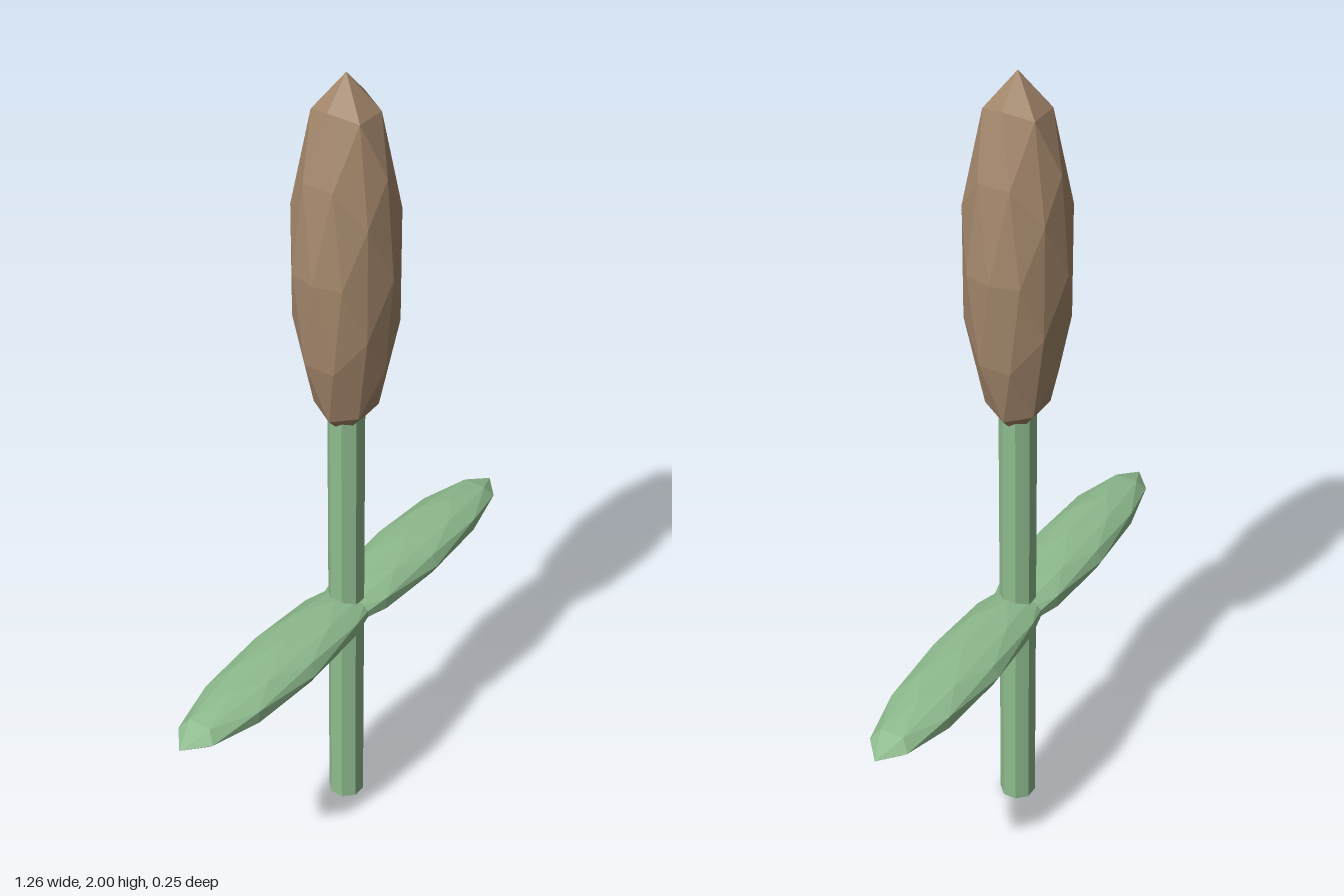
import * as THREE from 'three';

export function createModel() {
  const model = new THREE.Group();
  model.name = 'reedPlant';

  const green = new THREE.MeshStandardMaterial({ color: 0x8fbc8f, flatShading: true });
  green.name = 'leafGreen';
  const brown = new THREE.MeshStandardMaterial({ color: 0xa5886c, flatShading: true });
  brown.name = 'seedBrown';

  const add = (name, geometry, material, x, y) => {
    const mesh = new THREE.Mesh(geometry, material);
    mesh.name = name;
    mesh.position.set(x, y, 0);
    model.add(mesh);
  };

  // Faceted ellipsoid with the given half-sizes
  const ellipsoid = (rx, ry, rz) => new THREE.IcosahedronGeometry(1, 1).scale(rx, ry, rz);

  // Straight stem, its top hidden in the seed head
  const stem = new THREE.CylinderGeometry(0.044, 0.044, 1.2, 8).rotateY(Math.PI / 8);
  add('stem', stem, green, 0, 0.6);

  // Seed head
  add('seedHead', ellipsoid(0.125, 0.45, 0.125), brown, 0, 1.55);

  // Pair of leaves that overlap at the stem
  for (const side of [-1, 1]) {
    add(side > 0 ? 'leftLeaf' : 'rightLeaf', ellipsoid(0.38, 0.051, 0.094), green, side * 0.25, 0.598);
  }

  return model;
}
